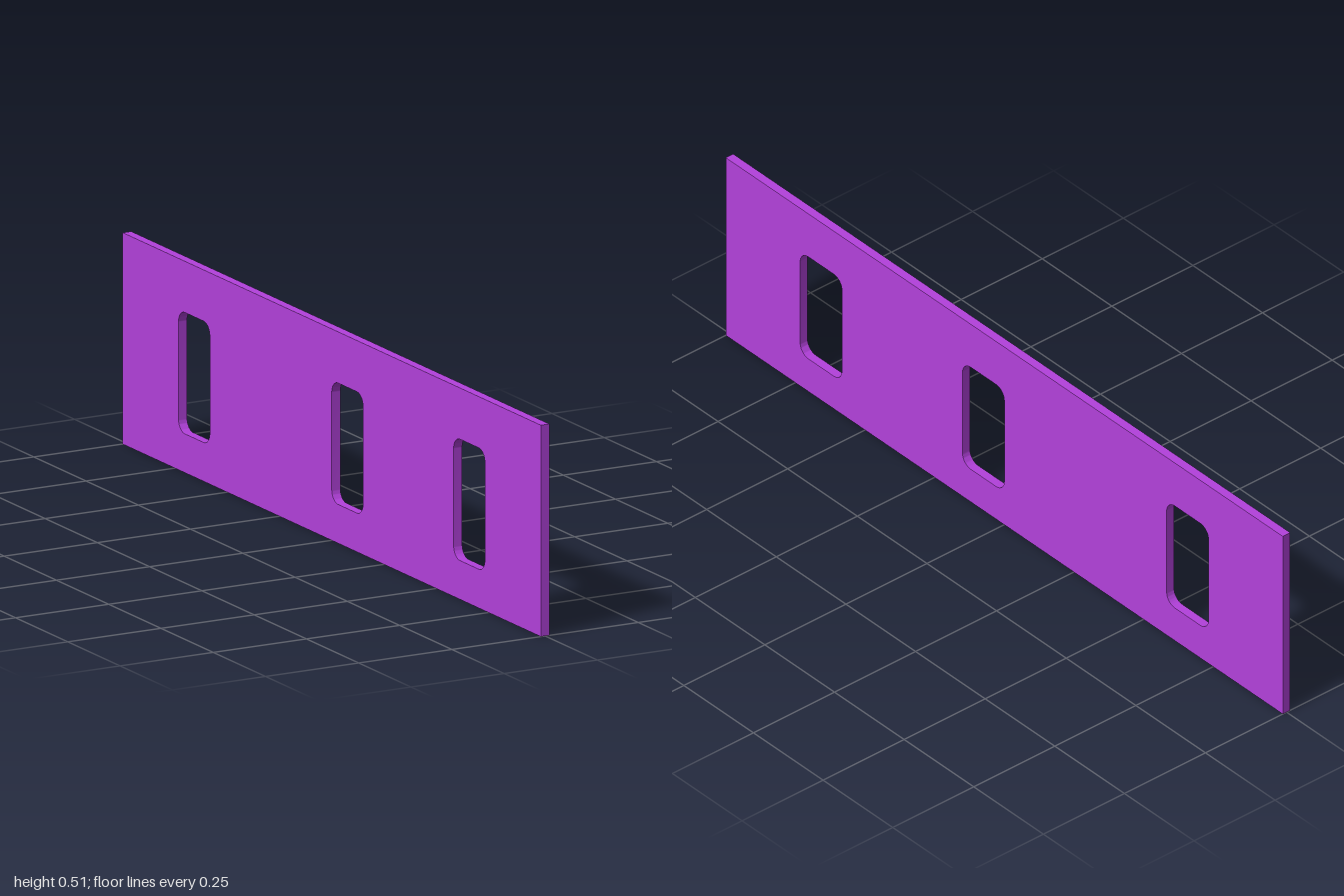
import * as THREE from 'three';
import { toCreasedNormals } from 'three/addons/utils/BufferGeometryUtils.js';

const LENGTH = 2, HEIGHT = 0.512, THICKNESS = 0.023;
const SLOT = { width: 0.15, height: 0.294, radius: 0.03, bottom: 0.094 };
const SLOT_CENTRES = [0.658, 0.075, -0.658]; // along z

// Rounded rectangular slot centred on u, standing on y = bottom
function slotPath(u) {
  const { width, height, radius: r, bottom: y0 } = SLOT;
  const x0 = u - width / 2, x1 = u + width / 2, y1 = y0 + height;
  const path = new THREE.Path();
  path.moveTo(x0 + r, y0);
  path.absarc(x0 + r, y0 + r, r, -Math.PI / 2, -Math.PI, true);
  path.absarc(x0 + r, y1 - r, r, Math.PI, Math.PI / 2, true);
  path.absarc(x1 - r, y1 - r, r, Math.PI / 2, 0, true);
  path.absarc(x1 - r, y0 + r, r, 0, -Math.PI / 2, true);
  path.closePath();
  return path;
}

export function createModel() {
  const group = new THREE.Group();
  group.name = 'slottedPlate';

  // Plate outline, drawn along z and y
  const outline = new THREE.Shape([
    new THREE.Vector2(-LENGTH / 2, 0),
    new THREE.Vector2(LENGTH / 2, 0),
    new THREE.Vector2(LENGTH / 2, HEIGHT),
    new THREE.Vector2(-LENGTH / 2, HEIGHT),
  ]);
  outline.holes = SLOT_CENTRES.map(slotPath);

  // Extrude through the thickness, then turn the length onto z
  let geometry = new THREE.ExtrudeGeometry(outline, { depth: THICKNESS, bevelEnabled: false, curveSegments: 8 });
  geometry.translate(0, 0, -THICKNESS / 2);
  geometry.rotateY(-Math.PI / 2);
  geometry = toCreasedNormals(geometry, Math.PI / 6);

  const plate = new THREE.Mesh(geometry, new THREE.MeshStandardMaterial({ color: 0xb341dc }));
  plate.name = 'plate';
  group.add(plate);
  return group;
}
